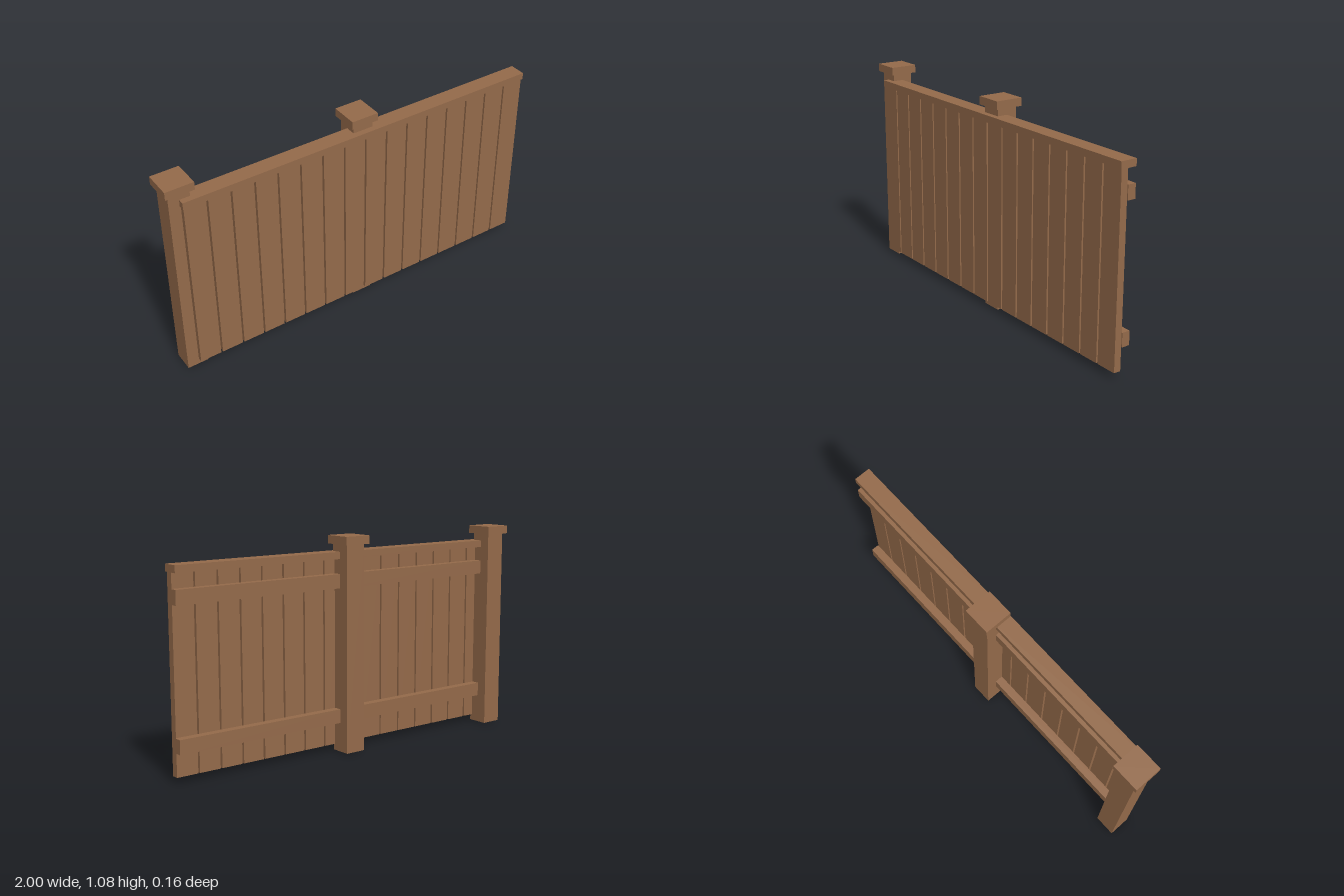
import * as THREE from 'three';

export function createModel() {
  const fence = new THREE.Group();
  fence.name = 'fence';
  const wood = new THREE.MeshStandardMaterial({ color: 0x946a4a });
  wood.name = 'brown wood';

  // Box given by its lower and upper limits on each axis
  function board(name, [x0, x1], [y0, y1], [z0, z1]) {
    const mesh = new THREE.Mesh(new THREE.BoxGeometry(x1 - x0, y1 - y0, z1 - z0), wood);
    mesh.name = name;
    mesh.position.set((x0 + x1) / 2, (y0 + y1) / 2, (z0 + z1) / 2);
    fence.add(mesh);
  }

  const start = -0.9285, panelWidth = 0.96425;
  const planks = 8, pitch = panelWidth / planks, halfGap = 0.0048;

  for (let p = 0; p < 2; p++) {
    const x = start + p * panelWidth;
    const span = [x, x + panelWidth];

    // Square post with a wider flat cap
    board('post', [x - 0.0535, x + 0.0535], [0, 1.037], [-0.06, 0.048]);
    board('postCap', [x - 0.0715, x + 0.0715], [1.037, 1.078], [-0.078, 0.066]);

    // Horizontal rails behind the planks and the top rail over them
    board('lowerRail', span, [0.147, 0.217], [-0.006, 0.036]);
    board('upperRail', span, [0.822, 0.892], [-0.006, 0.036]);
    board('topRail', span, [0.965, 1.0], [-0.006, 0.079]);

    // Evenly spaced vertical planks
    for (let i = 0; i < planks; i++) {
      const left = x + i * pitch;
      board('plank', [left + halfGap, left + pitch - halfGap], [0.031, 0.965], [0.036, 0.072]);
    }
  }
  return fence;
}
